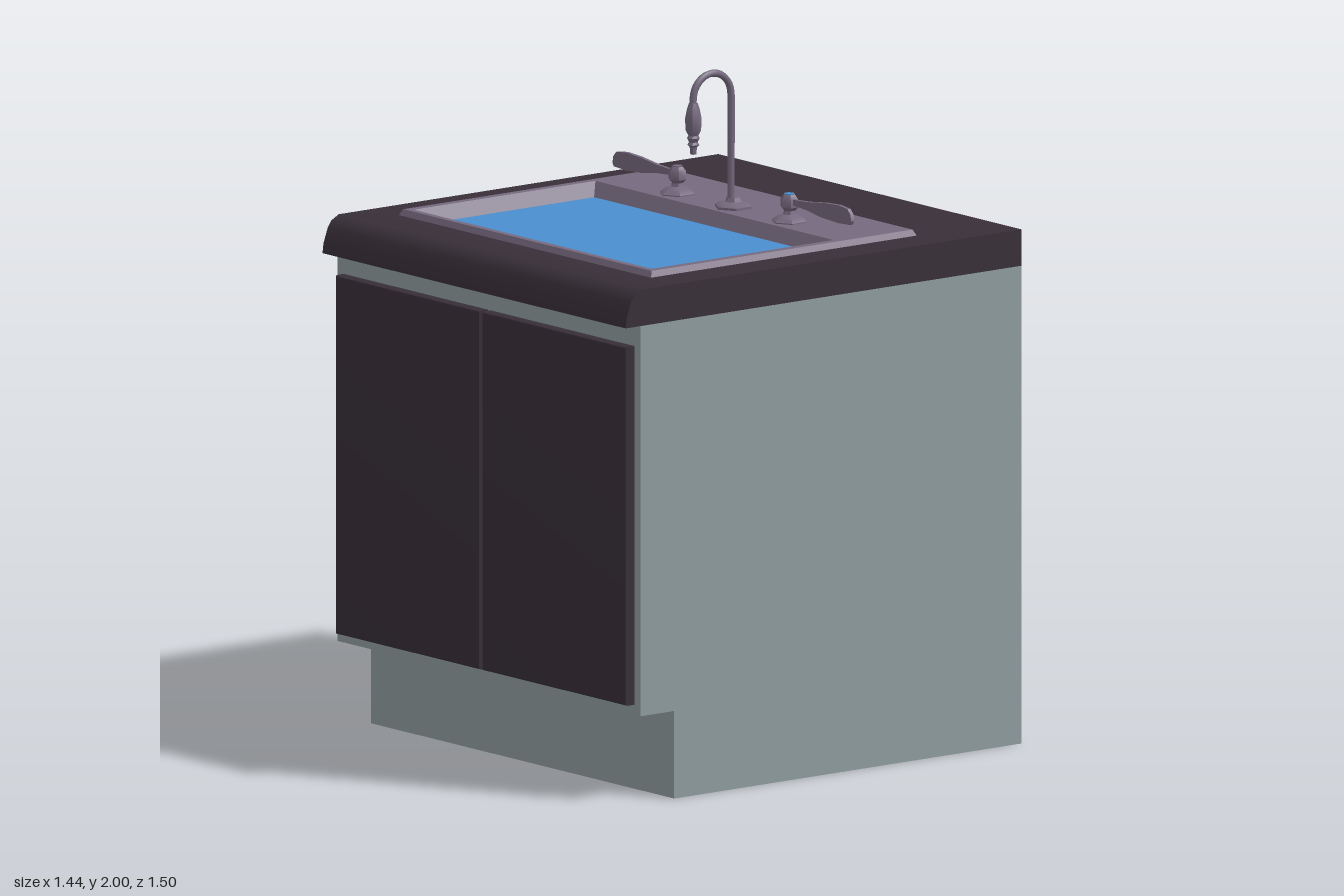
import * as THREE from 'three';
import { toCreasedNormals } from 'three/addons/utils/BufferGeometryUtils.js';

const material = (name, color) => {
  const m = new THREE.MeshStandardMaterial({ color });
  m.name = name;
  return m;
};

const shapeOf = (pts) => new THREE.Shape(pts.map(([x, y]) => new THREE.Vector2(x, y)));

// Extrudes a side profile of [z, y] points across x, centred
function acrossX(pts, width) {
  const g = new THREE.ExtrudeGeometry(shapeOf(pts), { depth: width, bevelEnabled: false });
  return toCreasedNormals(g.translate(0, 0, -width / 2).rotateY(-Math.PI / 2), 0.5);
}

function boxBetween(x0, x1, y0, y1, z0, z1) {
  return new THREE.BoxGeometry(x1 - x0, y1 - y0, z1 - z0)
    .translate((x0 + x1) / 2, (y0 + y1) / 2, (z0 + z1) / 2);
}

// Joins successive rectangular rings [halfWidth, zBack, zFront, y] with flat faces
function rectLoft(rings) {
  const corners = rings.map(([w, b, f, y]) => [[-w, y, b], [-w, y, f], [w, y, f], [w, y, b]]);
  const pos = [];
  for (let r = 0; r < rings.length - 1; r++) {
    for (let i = 0; i < 4; i++) {
      const j = (i + 1) % 4, A = corners[r], B = corners[r + 1];
      pos.push(...A[i], ...A[j], ...B[j], ...A[i], ...B[j], ...B[i]);
    }
  }
  const g = new THREE.BufferGeometry();
  g.setAttribute('position', new THREE.Float32BufferAttribute(pos, 3));
  g.computeVertexNormals();
  return g;
}

// Faceted turned piece from [radius, y] points
function turned(pts, sides) {
  return toCreasedNormals(new THREE.LatheGeometry(pts.map(([r, y]) => new THREE.Vector2(r, y)), sides), 0.6);
}

export function createModel() {
  const model = new THREE.Group();
  model.name = 'sinkCabinet';
  const grey = material('cabinet grey', 0x8f9c9f);
  const dark = material('dark panel', 0x382f38);
  const metal = material('mauve metal', 0x75697e);
  const blue = material('water blue', 0x4a8fcf);
  const add = (parent, name, geometry, mat) => {
    const m = new THREE.Mesh(geometry, mat);
    m.name = name;
    parent.add(m);
    return m;
  };

  // Cabinet with recessed toe kick
  add(model, 'cabinet', acrossX([
    [-0.75, 0], [0.568, 0], [0.568, 0.265], [0.695, 0.265], [0.695, 1.445], [-0.75, 1.445],
  ], 1.44), grey);

  // Doors with softened edges
  const bevel = 0.008;
  for (const s of [-1, 1]) {
    const w = 0.684 / 2 - bevel, h = 1.085 / 2 - bevel;
    const g = new THREE.ExtrudeGeometry(shapeOf([[-w, -h], [w, -h], [w, h], [-w, h]]), {
      depth: 0.026, bevelSize: bevel, bevelThickness: bevel, bevelSegments: 2,
    });
    add(model, s > 0 ? 'leftDoor' : 'rightDoor', toCreasedNormals(g, 0.5), dark)
      .position.set(s * 0.348, 0.8375, 0.695);
  }

  // Countertop around the sink, rounded at the front
  const counter = new THREE.Group();
  counter.name = 'countertop';
  model.add(counter);
  add(counter, 'frontEdge', acrossX([
    [0.54, 1.445], [0.752, 1.445], [0.748, 1.475], [0.732, 1.52], [0.718, 1.54], [0.69, 1.555], [0.54, 1.555],
  ], 1.44), dark);
  add(counter, 'backTop', boxBetween(-0.72, 0.72, 1.445, 1.555, -0.75, -0.43), dark);
  for (const s of [-1, 1]) {
    add(counter, 'sideTop', boxBetween(s > 0 ? 0.58 : -0.72, s > 0 ? 0.72 : -0.58, 1.445, 1.555, -0.43, 0.54), dark);
  }

  // Sink rim, sloping basin wall and water
  add(model, 'sink', rectLoft([
    [0.6, -0.45, 0.56, 1.553],
    [0.59, -0.44, 0.55, 1.573],
    [0.565, -0.16, 0.53, 1.573],
    [0.538, -0.133, 0.503, 1.53],
  ]), metal);
  add(model, 'water', new THREE.PlaneGeometry(1.08, 0.64).rotateX(-Math.PI / 2).translate(0, 1.531, 0.185), blue);

  // Faucet with gooseneck pipe
  const faucet = new THREE.Group();
  faucet.name = 'faucet';
  model.add(faucet);
  add(faucet, 'faucetBase', turned([
    [0.058, 1.57], [0.058, 1.58], [0.045, 1.588], [0.026, 1.592], [0.02, 1.605], [0, 1.605],
  ], 6), metal).position.z = -0.232;
  const bend = [];
  for (let i = 0; i <= 8; i++) {
    const a = Math.PI * i / 8;
    bend.push(new THREE.Vector3(0, 1.917 + 0.072 * Math.sin(a), -0.151 - 0.072 * Math.cos(a)));
  }
  const path = new THREE.CatmullRomCurve3([
    new THREE.Vector3(0, 1.58, -0.223), new THREE.Vector3(0, 1.75, -0.223),
    ...bend, new THREE.Vector3(0, 1.885, -0.079),
  ]);
  add(faucet, 'pipe', new THREE.TubeGeometry(path, 48, 0.011, 8), metal);
  add(faucet, 'spout', turned([
    [0, 1.753], [0.009, 1.753], [0.011, 1.775], [0.018, 1.782], [0.013, 1.79], [0.019, 1.802], [0.015, 1.81],
    [0.023, 1.825], [0.025, 1.86], [0.019, 1.89], [0.013, 1.908], [0, 1.908],
  ], 8), metal).position.z = -0.08;

  // Tap handles with flat flared levers
  const lever = shapeOf([
    [0.015, 1.626], [0.09, 1.621], [0.16, 1.61], [0.24, 1.606], [0.295, 1.609], [0.301, 1.62],
    [0.297, 1.64], [0.283, 1.655], [0.24, 1.66], [0.17, 1.656], [0.09, 1.646], [0.015, 1.642],
  ]);
  for (const s of [-1, 1]) {
    const tap = new THREE.Group();
    tap.name = s > 0 ? 'leftTap' : 'rightTap';
    tap.position.set(s * 0.266, 0, -0.232);
    if (s < 0) tap.rotation.y = Math.PI;
    model.add(tap);
    add(tap, 'tapBase', turned([
      [0.056, 1.57], [0.056, 1.576], [0.038, 1.588], [0.02, 1.596], [0.016, 1.61],
    ], 6), metal);
    add(tap, 'knob', turned([
      [0.016, 1.605], [0.028, 1.617], [0.028, 1.642], [0.018, 1.655], [0, 1.655],
    ], 6), metal);
    const g = new THREE.ExtrudeGeometry(lever, { depth: 0.012, bevelEnabled: false }).translate(0, 0, -0.006);
    add(tap, 'lever', toCreasedNormals(g, 0.6), metal);
    add(tap, 'tapCap', new THREE.CylinderGeometry(0.016, 0.016, 0.004, 6).translate(0, 1.656, 0), s > 0 ? blue : metal);
  }
  return model;
}
